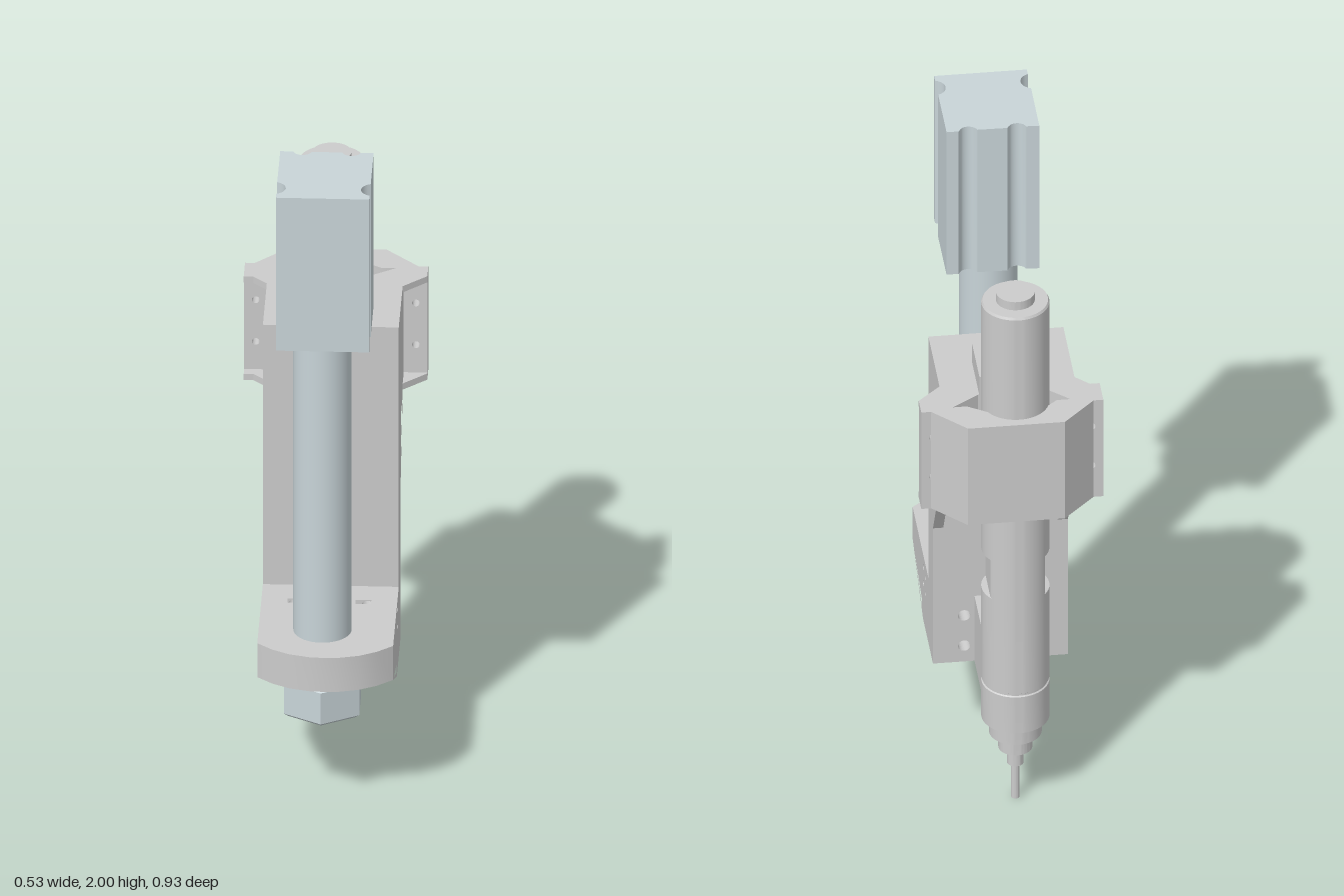
import * as THREE from 'three';
import { toCreasedNormals } from 'three/addons/utils/BufferGeometryUtils.js';

const grey = new THREE.MeshStandardMaterial({ color: 0xcccccc });
const steel = new THREE.MeshStandardMaterial({ color: 0xc8d4d8 });
const CX = -0.012; // axis shared by column, tool and plunger

export function createModel() {
  const model = new THREE.Group();

  const add = (name, geo, mat = grey, x = 0, y = 0, z = 0) => {
    const mesh = new THREE.Mesh(geo, mat);
    mesh.name = name;
    mesh.position.set(x, y, z);
    model.add(mesh);
    return mesh;
  };
  // a hole is a list of points or a circle [u, v, radius]
  const extrude = (pts, depth, holes, su, sv) => {
    const map = (list) => list.map(([u, v]) => new THREE.Vector2(u * su, v * sv));
    const shape = new THREE.Shape(map(pts));
    for (const h of holes) {
      shape.holes.push(typeof h[0] === 'number'
        ? new THREE.Path().absarc(h[0] * su, h[1] * sv, h[2], 0, Math.PI * 2)
        : new THREE.Path(map(h)));
    }
    return new THREE.ExtrudeGeometry(shape, { depth, bevelEnabled: false, curveSegments: 16 });
  };
  // outline in (x, z), between two heights
  const slab = (pts, y0, y1, holes = []) =>
    toCreasedNormals(extrude(pts, y1 - y0, holes, 1, -1).rotateX(-Math.PI / 2).translate(0, y0, 0), 0.6);
  // outline in (z, y), between two x positions
  const cheek = (pts, x0, x1, holes = []) =>
    extrude(pts, x1 - x0, holes, -1, 1).rotateY(Math.PI / 2).translate(x0, 0, 0);
  // outline in (x, y), between two z positions
  const wall = (pts, z0, z1, holes = []) => extrude(pts, z1 - z0, holes, 1, 1).translate(0, 0, z0);
  const rect = (u0, u1, v0, v1) => [[u0, v0], [u1, v0], [u1, v1], [u0, v1]];
  const rod = (name, r, y0, y1, z, mat = grey) =>
    add(name, new THREE.CylinderGeometry(r, r, y1 - y0, 40), mat, CX, (y0 + y1) / 2, z);

  // Column with its grooved head
  rod('column', 0.084, 0.45, 1.51, 0.285, steel);
  const head = [[-0.14, 0.42], [0.128, 0.42], [0.128, 0.4]];
  const groove = (x, z, r, a0, a1) => {
    for (let i = 0; i <= 10; i++) {
      const a = a0 + (a1 - a0) * i / 10;
      head.push([x + r * Math.cos(a), z + r * Math.sin(a)]);
    }
  };
  const P = Math.PI;
  groove(0.14, 0.36, 0.038, P * 0.6, P * 1.4);
  head.push([0.128, 0.132], [0.093, 0.132]);
  groove(0.065, 0.125, 0.028, P * 0.1, P * 0.9);
  head.push([-0.048, 0.132]);
  groove(-0.076, 0.125, 0.028, P * 0.1, P * 0.9);
  head.push([-0.14, 0.132]);
  groove(-0.152, 0.36, 0.038, -P * 0.4, P * 0.4);
  head.push([-0.14, 0.4]);
  add('columnHead', slab(head, 1.505, 2), steel);

  // Hex nut and threaded end below the foot
  const hex = [];
  for (let i = 0; i < 6; i++) hex.push([CX + 0.125 * Math.sin(i * P / 3), 0.282 + 0.125 * Math.cos(i * P / 3)]);
  add('nut', slab(hex, 0.29, 0.39, [[CX, 0.282, 0.062]]), steel);
  for (const [y, top] of [[0.285, false], [0.395, true]]) {
    const chamfer = new THREE.CylinderGeometry(top ? 0.112 : 0.125, top ? 0.125 : 0.112, 0.01, 6, 1, true);
    add('nutChamfer', chamfer, steel, CX, y, 0.282);
    const face = new THREE.RingGeometry(0.062, 0.112, 6, 1).rotateZ(P / 6).rotateX(top ? -P / 2 : P / 2);
    add('nutFace', face, steel, CX, top ? 0.4 : 0.28, 0.282);
  }
  rod('threadedEnd', 0.05, 0.29, 0.46, 0.282, steel);

  // Foot: rounded plate, solid core and pierced cheeks
  add('footPlate', slab([[-0.165, 0.015], [0.165, 0.015], [0.165, 0.16], [0.195, 0.16], [0.195, 0.38],
    [0.15, 0.418], [0.1, 0.445], [0.035, 0.462], [-0.035, 0.462], [-0.1, 0.445], [-0.15, 0.418],
    [-0.195, 0.38], [-0.195, 0.16], [-0.165, 0.16]], 0.425, 0.535,
  [rect(-0.12, -0.075, 0.1, 0.125), rect(0.075, 0.12, 0.1, 0.125)]));
  add('footCore', wall(rect(-0.165, 0.165, 0.31, 0.425), 0.015, 0.14,
    [[-0.105, 0.365, 0.018], [0.105, 0.365, 0.018]]));
  const boltHoles = [];
  for (const z of [0.13, 0.075]) for (const y of [0.495, 0.44]) boltHoles.push([z, y, 0.008]);
  for (const x of [-0.195, 0.165]) {
    add('footCheek', cheek([[0.015, 0.31], [0.14, 0.31], [0.38, 0.425], [0.16, 0.425], [0.16, 0.535], [0.015, 0.535]],
      x, x + 0.03, [...boltHoles, [[0.33, 0.408], [0.16, 0.36], [0.16, 0.333]]]));
  }

  // Upright back wall and lower tool rest
  add('upright', wall(rect(-0.195, 0.195, 0.31, 1.04), -0.09, 0.015,
    [-0.105, 0.105].flatMap((x) => [[x, 0.365, 0.018], [x, 0.47, 0.018]])));
  add('toolRest', wall(rect(-0.09, 0.075, 0.31, 0.535), -0.25, -0.09));

  // Open gussets under the clamp block
  for (const x of [-0.195, 0.165]) {
    add('gusset', cheek([[-0.09, 1.04], [-0.245, 1.04], [-0.24, 1.02], [-0.09, 0.78]], x, x + 0.03,
      [[[-0.12, 1.02], [-0.22, 1.02], [-0.12, 0.86]]]));
  }

  // Clamp block with a V-shaped bore; end layers carry the flange webs
  const bore = [[-0.17, -0.35], [-0.13, -0.35], [-0.08, -0.395], [0.06, -0.395], [0.13, -0.35],
    [0.17, -0.35], [0.09, -0.295], [-0.11, -0.295]];
  const rear = [[0.235, -0.365], [0.14, -0.463], [-0.14, -0.463], [-0.235, -0.365]];
  const webbed = [[-0.195, 0.015], [0.195, 0.015], [0.195, -0.24], [0.263, -0.305], [0.263, -0.365], ...rear,
    [-0.263, -0.365], [-0.263, -0.28], [-0.235, -0.28], [-0.195, -0.24]];
  const plain = [[-0.195, 0.015], [0.195, 0.015], [0.195, -0.365], ...rear, [-0.195, -0.365]];
  add('clampBottom', slab(webbed, 1.04, 1.06, [bore]));
  add('clampBlock', slab(plain, 1.06, 1.355, [bore]));
  add('clampTop', slab(webbed, 1.355, 1.375, [bore]));
  for (const s of [-1, 1]) {
    const x0 = Math.min(s * 0.195, s * 0.263);
    add('clampFlange', wall(rect(x0, x0 + 0.068, 1.06, 1.355), -0.365, -0.31,
      [[s * 0.23, 1.15, 0.011], [s * 0.23, 1.285, 0.011]]));
  }

  // Spring-loaded plunger
  add('plungerCap', slab(rect(-0.113, 0.087, -0.3, -0.127), 1.375, 1.44));
  rod('plungerPin', 0.028, 1.44, 1.515, -0.18);
  rod('plungerRod', 0.031, 0.62, 1.05, -0.18);
  const coil = [];
  for (let i = 0; i <= 120; i++) {
    const a = i / 120 * P * 2 * 5.5;
    coil.push(new THREE.Vector3(CX + 0.048 * Math.cos(a), 0.675 + 0.36 * i / 120, -0.18 + 0.048 * Math.sin(a)));
  }
  add('spring', new THREE.TubeGeometry(new THREE.CatmullRomCurve3(coil), 240, 0.008, 8));

  // Round tool, stepped down to the bit, with two spanner flats
  const profile = [[0, 0], [0.012, 0], [0.012, 0.12], [0.024, 0.12], [0.024, 0.175], [0.049, 0.175], [0.049, 0.23],
    [0.076, 0.23], [0.076, 0.285], [0.098, 0.285], [0.098, 0.41], [0.094, 0.413], [0.094, 0.419], [0.098, 0.422],
    [0.098, 0.735], [0.098, 0.737], [0.098, 0.865], [0.098, 0.867], [0.098, 1.72], [0.094, 1.727],
    [0.056, 1.727], [0.056, 1.755], [0, 1.755]].map(([r, y]) => new THREE.Vector2(r, y));
  const toolGeo = new THREE.LatheGeometry(profile, 64);
  const pos = toolGeo.attributes.position;
  for (let i = 0; i < pos.count; i++) {
    const y = pos.getY(i);
    if (y > 0.736 && y < 0.866) pos.setX(i, THREE.MathUtils.clamp(pos.getX(i), -0.079, 0.079));
  }
  add('tool', toCreasedNormals(toolGeo, 0.35), grey, CX, 0, -0.338);

  return model;
}
